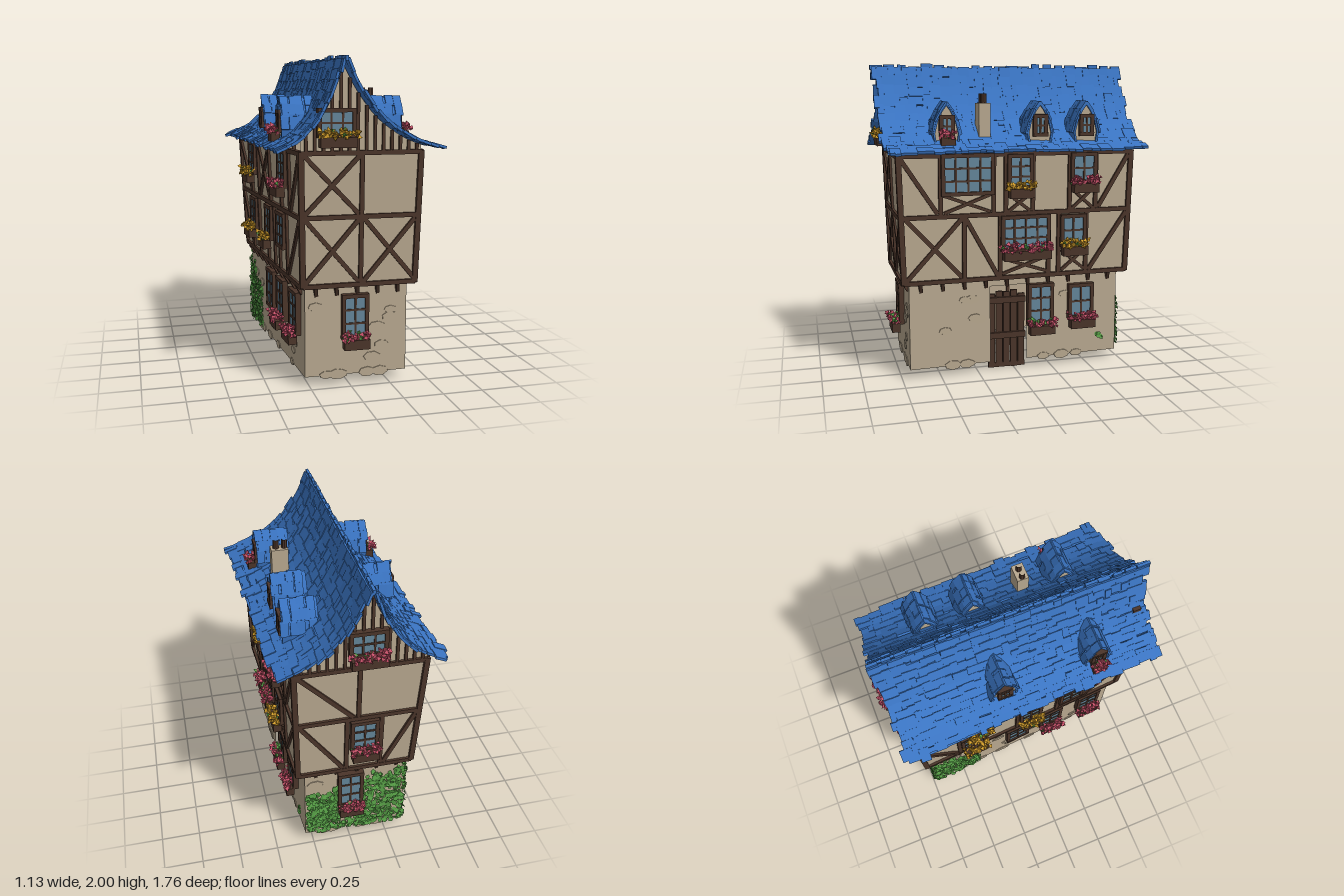
import * as THREE from 'three';
import { mergeGeometries } from 'three/addons/utils/BufferGeometryUtils.js';

const V = (x, y, z) => new THREE.Vector3(x, y, z);
const lerp = THREE.MathUtils.lerp;

export function createModel() {
  const model = new THREE.Group();
  let seed = 7;
  const rnd = (a = 0, b = 1) => { seed = (seed * 16807) % 2147483647; return a + (b - a) * seed / 2147483647; };

  const mat = (name, color, side = THREE.FrontSide) => {
    const m = new THREE.MeshStandardMaterial({ color, side, flatShading: true });
    m.name = name;
    return m;
  };
  const plaster = mat('plaster', 0xb9a990, THREE.DoubleSide);
  const wood = mat('dark timber', 0x4b352a);
  const blue = mat('blue slate', 0x3a74c2, THREE.DoubleSide);
  const glass = mat('window glass', 0x64869a);
  const pink = mat('pink petals', 0xc8526a);
  const yellow = mat('yellow petals', 0xd6a02c);
  const green = mat('ivy green', 0x549a44, THREE.DoubleSide);

  // Pieces are collected by part name and merged into one mesh each
  const parts = new Map();
  const add = (name, material, geo, matrix) => {
    const g = geo.index ? geo.toNonIndexed() : geo;
    g.deleteAttribute('uv');
    if (matrix) g.applyMatrix4(matrix);
    if (!parts.has(name)) parts.set(name, { material, list: [] });
    parts.get(name).list.push(g);
  };
  const box = (w, h, d, x = 0, y = 0, z = 0) => new THREE.BoxGeometry(w, h, d).translate(x, y, z);
  const quad = (name, material, a, b, c, d) => {
    const g = new THREE.BufferGeometry().setFromPoints([a, b, c, a, c, d]);
    g.computeVertexNormals();
    add(name, material, g);
  };
  const spin = (p) => new THREE.Matrix4().makeRotationFromEuler(
    new THREE.Euler(rnd(0, 6), rnd(0, 6), rnd(0, 6))).setPosition(p);

  // Skewed plan: corners FL, FR, BR, BL as [x, z]
  const ground = [[-0.28, 0.70], [0.365, 0.70], [0.30, -0.72], [-0.37, -0.72]];
  const low = [[-0.30, 0.735], [0.40, 0.735], [0.35, -0.755], [-0.39, -0.755]];
  const high = [[-0.315, 0.76], [0.42, 0.76], [0.365, -0.775], [-0.435, -0.775]];
  const F = 0, R = 1, B = 2, L = 3;
  const corner = (i, y) => {
    i %= 4;
    if (y < 0.62) return V(ground[i][0], y, ground[i][1]);
    const k = Math.min(1, (y - 0.62) / 0.82);
    return V(lerp(low[i][0], high[i][0], k), y, lerp(low[i][1], high[i][1], k));
  };
  const normal = (s) => corner(s + 1, 1).sub(corner(s, 1)).normalize().cross(V(0, 1, 0));
  // Point on a wall: a is x on front and back, z on the long sides
  const at = (s, a, y, off = 0) => {
    const p = corner(s, y), q = corner(s + 1, y), ax = s % 2 ? 'z' : 'x';
    return p.clone().lerp(q, (a - p[ax]) / (q[ax] - p[ax])).addScaledVector(normal(s), off);
  };
  const wallMatrix = (s, p) => {
    const n = normal(s);
    return new THREE.Matrix4().makeRotationY(Math.atan2(n.x, n.z)).setPosition(p);
  };
  const beam = (s, a0, y0, a1, y1, w = 0.027, d = 0.03) => {
    const p = at(s, a0, y0), q = at(s, a1, y1);
    const y = q.clone().sub(p).normalize(), x = y.clone().cross(normal(s)).normalize();
    const m = new THREE.Matrix4().makeBasis(x, y, x.clone().cross(y)).setPosition(p.clone().lerp(q, 0.5));
    add('timberFrame', wood, box(w, p.distanceTo(q), d), m);
  };
  const cross = (s, a0, a1, y0, y1, w) => { beam(s, a0, y0, a1, y1, w); beam(s, a0, y1, a1, y0, w, 0.026); };

  // Ground floor walls, with a doorway in the long right-hand side
  const panel = (s, a0, a1, y0, y1) =>
    quad('groundWalls', plaster, at(s, a0, y0), at(s, a1, y0), at(s, a1, y1), at(s, a0, y1));
  const base = 0.06, top = 0.6199;
  panel(F, -0.28, 0.365, base, top);
  panel(B, 0.30, -0.37, base, top);
  panel(L, -0.72, 0.70, base, top);
  panel(R, 0.70, 0.17, base, top);
  panel(R, 0.17, -0.08, 0.57, top);
  panel(R, -0.08, -0.72, base, top);

  // Jettied upper floors with underside
  for (let s = 0; s < 4; s++)
    quad('upperWalls', plaster, corner(s, 0.62), corner(s + 1, 0.62), corner(s + 1, 1.44), corner(s, 1.44));
  quad('upperWalls', plaster, ...[3, 2, 1, 0].map((i) => corner(i, 0.62)));

  // Shallow stones and a ragged footing
  for (let s = 0; s < 4; s++) {
    const [a, b] = [corner(s, 0.3), corner(s + 1, 0.3)], ax = s % 2 ? 'z' : 'x';
    const stone = (u, y, r) => add('stones', plaster,
      new THREE.CylinderGeometry(r * 0.96, r, 0.007, 7).rotateX(Math.PI / 2).rotateZ(rnd(0, 6)).scale(1.3, 0.75, 1),
      wallMatrix(s, at(s, u, y, 0.001)));
    for (let i = 0; i < (s % 2 ? 18 : 7); i++) {
      const u = lerp(a[ax], b[ax], rnd(0.1, 0.9));
      if (s !== R || u > 0.24 || u < -0.15) stone(u, rnd(0.14, 0.53), rnd(0.03, 0.05));
    }
    for (let i = 0; i < (s % 2 ? 8 : 5); i++) {
      const u = lerp(a[ax], b[ax], rnd(0.1, 0.8));
      if (s !== R || u > 0.24 || u < -0.15) stone(u, 0.065, rnd(0.03, 0.045));
    }
  }

  // Horizontal beams, corner posts and brackets under the overhang
  for (let s = 0; s < 4; s++) {
    const ax = s % 2 ? 'z' : 'x';
    for (const y of [0.635, 1.05, 1.43]) beam(s, corner(s, y)[ax], y, corner(s + 1, y)[ax], y, 0.028, 0.034);
    beam(s, corner(s, 0.63)[ax], 0.63, corner(s, 1.44)[ax], 1.44, 0.034, 0.034);
    const n = s % 2 ? 10 : 5;
    for (let i = 0; i < n; i++) {
      const p = at(s, lerp(corner(s, 0.6)[ax], corner(s + 1, 0.6)[ax], (i + 0.5) / n), 0.598, 0.012);
      add('brackets', wood, box(0.022, 0.07, 0.025).rotateX(0.5).rotateZ(0.2), wallMatrix(s, p));
    }
  }

  // Braces and studs
  beam(F, 0.055, 0.63, 0.055, 1.43);
  cross(F, -0.29, 0.045, 0.65, 1.04);
  cross(F, 0.07, 0.40, 0.65, 1.04);
  cross(F, -0.30, 0.045, 1.06, 1.42);
  beam(B, -0.03, 1.05, -0.03, 1.43);
  beam(B, 0.35, 1.42, 0, 1.06);
  for (const a of [0.04, -0.18]) beam(B, a, 0.63, a, 1.05);
  beam(B, 0.34, 1.04, 0.06, 0.65);
  beam(B, -0.40, 1.04, -0.20, 0.65);
  const studs = (s, y0, y1, list) => list.forEach((a) => beam(s, a, y0, a, y1));
  studs(R, 0.64, 1.04, [0.35, 0.115, -0.21, -0.28, -0.47]);
  studs(R, 1.06, 1.42, [0.5, 0.16, 0.08, -0.1, -0.35, -0.53]);
  cross(R, 0.72, 0.36, 0.65, 1.04);
  beam(R, 0.34, 1.03, 0.13, 0.65);
  beam(R, -0.75, 1.03, -0.49, 0.65);
  beam(R, 0.75, 1.42, 0.52, 1.07);
  beam(R, -0.76, 1.42, -0.55, 1.07);
  cross(R, 0.48, 0.18, 1.07, 1.18, 0.02);
  cross(R, 0.07, -0.09, 1.06, 1.18, 0.02);
  cross(R, -0.36, -0.52, 1.06, 1.2, 0.02);
  cross(R, 0.1, -0.2, 0.66, 0.76, 0.02);
  cross(R, -0.3, -0.46, 0.66, 0.79, 0.02);
  studs(L, 0.64, 1.04, [-0.5, -0.3, -0.06, 0.12, 0.25, 0.43]);
  studs(L, 1.06, 1.42, [-0.46, -0.26, 0.05, 0.33, 0.52]);
  beam(L, -0.75, 1.03, -0.52, 0.65);
  beam(L, 0.72, 1.03, 0.45, 0.65);
  beam(L, -0.76, 1.42, -0.48, 1.07);
  beam(L, 0.74, 1.42, 0.54, 1.07);
  cross(L, -0.24, 0.04, 1.07, 1.42);

  // Framed windows with optional flower boxes
  const framed = (m, w, h, cols, rows, petals, greenery = 0.05) => {
    const f = 0.024;
    add('windowGlass', glass, box(w - f, h - f, 0.008, 0, 0, 0.01), m);
    for (const i of [-1, 1]) {
      add('windowFrames', wood, box(f, h, 0.045, i * (w - f) / 2, 0, 0), m);
      add('windowFrames', wood, box(w, f, 0.05, 0, i * (h - f) / 2, 0), m);
    }
    for (let i = 1; i < cols; i++) add('windowFrames', wood, box(0.012, h, 0.014, (i / cols - 0.5) * (w - f), 0, 0.013), m);
    for (let i = 1; i < rows; i++) add('windowFrames', wood, box(w, 0.012, 0.014, 0, (i / rows - 0.5) * (h - f), 0.013), m);
    if (!petals) return;
    add('flowerBoxes', wood, box(w * 0.95, 0.06, 0.055, 0, -h / 2 - 0.025, 0.042), m);
    const name = petals === pink ? 'pinkFlowers' : 'yellowFlowers';
    for (let i = 0; i < w * 300; i++) {
      const p = V(rnd(-0.53, 0.53) * w, -h / 2 + rnd(0.0, 0.05), rnd(0.02, 0.085)).applyMatrix4(m);
      const leaf = rnd() < greenery;
      add(leaf ? 'flowerLeaves' : name, leaf ? green : petals, new THREE.TetrahedronGeometry(rnd(0.013, 0.023)), spin(p));
    }
  };
  const win = (s, a, y0, y1, w, cols, rows, petals, greenery) =>
    framed(wallMatrix(s, at(s, a, (y0 + y1) / 2, 0.012)), w, y1 - y0, cols, rows, petals, greenery);
  win(F, 0.03, 0.29, 0.57, 0.17, 2, 3, pink, 0.35);
  win(F, -0.105, 1.52, 1.69, 0.23, 3, 2, yellow);
  win(B, 0.0, 0.29, 0.57, 0.17, 2, 3, pink);
  win(B, -0.07, 0.8, 1.03, 0.18, 2, 3, pink);
  win(B, -0.07, 1.52, 1.69, 0.23, 3, 2, pink);
  win(R, -0.17, 0.29, 0.57, 0.18, 2, 3, pink, 0.25);
  win(R, -0.455, 0.31, 0.55, 0.18, 2, 2, pink);
  win(R, -0.05, 0.81, 1.04, 0.33, 4, 3, pink);
  win(R, -0.375, 0.82, 1.03, 0.18, 2, 2, yellow);
  win(R, 0.33, 1.18, 1.44, 0.34, 4, 3);
  win(R, -0.01, 1.21, 1.43, 0.17, 2, 3, yellow);
  win(R, -0.44, 1.23, 1.43, 0.18, 2, 2, pink);
  win(L, -0.05, 0.3, 0.57, 0.18, 2, 3);
  win(L, 0.22, 0.3, 0.57, 0.18, 2, 3, pink);
  win(L, 0.53, 0.3, 0.57, 0.18, 2, 3, pink);
  win(L, -0.40, 0.8, 1.03, 0.18, 2, 3, yellow);
  win(L, 0.03, 0.8, 1.03, 0.17, 2, 3, yellow);
  win(L, 0.34, 0.8, 1.03, 0.18, 2, 3);
  win(L, -0.36, 1.2, 1.43, 0.18, 2, 3, yellow);
  win(L, 0.42, 1.2, 1.43, 0.18, 2, 3, pink);

  // Plank door set back in the doorway
  for (let i = 0; i < 5; i++)
    add('door', wood, box(0.018, 0.5 + rnd(-0.03, 0.03), 0.044, 0.28, 0.26, 0.146 - i * 0.05));
  for (const y of [0.22, 0.46]) add('door', wood, box(0.03, 0.04, 0.25, 0.288, y, 0.045));
  add('door', wood, box(0.018, 0.03, 0.25, 0.28, 0.015, 0.045));

  // Roof: a concave profile of (share of half width, height), half width varying along z
  const ridge = -0.07;
  const curve = new THREE.SplineCurve([[0, 1.965], [0.13, 1.815], [0.33, 1.655], [0.56, 1.548], [0.76, 1.49], [1, 1.45]]
    .map((p) => new THREE.Vector2(...p)));
  const prof = curve.getSpacedPoints(30);
  const half = (sgn, z) => sgn > 0 ? lerp(0.54, 0.61, (z + 0.86) / 1.72) : lerp(0.47, 0.38, (z + 0.86) / 1.72);
  const roofAt = (sgn, k, z) => {
    const p = curve.getPointAt(Math.min(1, Math.max(0, k)));
    return V(ridge + sgn * p.x * half(sgn, z), p.y, z);
  };
  const roofY = (x, z) => {
    const t = Math.abs(x - ridge) / half(Math.sign(x - ridge) || 1, z);
    const i = Math.max(1, prof.findIndex((p) => p.x >= t));
    return lerp(prof[i - 1].y, prof[i].y, (t - prof[i - 1].x) / (prof[i].x - prof[i - 1].x));
  };
  const tile = (p, q, w) => {
    const down = q.clone().sub(p), len = down.length(), z = V(0, 0, 1);
    down.normalize();
    const n = z.clone().cross(down);
    if (n.y < 0) n.negate();
    const m = new THREE.Matrix4().makeBasis(down, n, down.clone().cross(n))
      .setPosition(p.clone().lerp(q, 0.5).addScaledVector(n, rnd(0.007, 0.013)));
    add('roofTiles', blue, box(len, 0.016, w).rotateY(rnd(-0.04, 0.04)).rotateZ(rnd(-0.1, -0.02)), m);
  };
  const rows = 13;
  for (const sgn of [-1, 1]) {
    for (let i = 0; i < rows; i++) {
      const k0 = i / rows, k1 = (i + 1) / rows;
      quad('roofShell', blue, roofAt(sgn, k0, 0.83), roofAt(sgn, k1, 0.83), roofAt(sgn, k1, -0.83), roofAt(sgn, k0, -0.83));
      let z = -0.85 + rnd(-0.02, 0.02);
      const end = 0.85 + rnd(-0.025, 0.015);
      while (z < end - 0.02) {
        const w = Math.min(rnd(0.03, 0.1), end - z);
        const p = roofAt(sgn, k0 - rnd(0, 0.03), z + w / 2), q = roofAt(sgn, k1, z + w / 2);
        q.addScaledVector(q.clone().sub(p).normalize(), rnd(-0.015, 0.03));
        tile(p, q, w);
        z += w;
      }
    }
  }
  for (let z = -0.83; z < 0.84; z += 0.083)
    add('ridgeTiles', blue, box(0.018, 0.03, rnd(0.05, 0.085), ridge, 1.972 + rnd(-0.012, 0.013), z));

  // Gable walls with close studs
  for (const s of [F, B]) {
    const z = high[s][1], x0 = Math.min(high[s][0], high[s + 1][0]), x1 = Math.max(high[s][0], high[s + 1][0]);
    const pts = [new THREE.Vector2(x0, 1.44)];
    for (let i = 0; i <= 24; i++) {
      const x = lerp(x0, x1, i / 24);
      pts.push(new THREE.Vector2(x, roofY(x, z) - 0.008));
    }
    pts.push(new THREE.Vector2(x1, 1.44));
    add('gableWalls', plaster, new THREE.ShapeGeometry(new THREE.Shape(pts)).translate(0, 0, z));
    for (let x = x0 + 0.03; x < x1; x += 0.052) {
      const y = roofY(x, z) - 0.01;
      if (y > 1.47) beam(s, x, 1.44, x, y, 0.018, 0.03);
    }
  }

  // Dormers: beige pointed front under a tiled hood
  const arch = [[0.072, 1.48], [0.085, 1.56], [0.066, 1.64], [0.036, 1.7], [0, 1.75]];
  const dormer = (sgn, z, petals) => {
    const outline = (t) => [...arch.map(([a, y], i) => new THREE.Vector2(-Math.max(0, a - t), i === 4 ? y - t * 1.5 : y)),
      ...arch.slice(0, -1).reverse().map(([a, y]) => new THREE.Vector2(a - t, y))];
    const m = new THREE.Matrix4().makeRotationY(sgn * Math.PI / 2).setPosition(sgn * 0.365, 0, z);
    add('dormerWalls', plaster, new THREE.ExtrudeGeometry(new THREE.Shape(outline(0.01)),
      { depth: 0.18, bevelEnabled: false }).translate(0, 0, -0.18), m);
    add('dormerRoofs', blue, new THREE.ExtrudeGeometry(new THREE.Shape([...outline(0), ...outline(0.012).reverse()]),
      { depth: 0.22, bevelEnabled: false }).translate(0, 0, -0.205), m);
    for (const e of [-1, 1]) for (let i = 1; i < 4; i++) for (let j = 0; j < 4; j++) {
      const [a, y] = arch[i], [b, h] = arch[i + 1];
      add('dormerTiles', blue, box(0.012, Math.hypot(a - b, h - y) + rnd(0.005, 0.02), 0.05)
        .rotateZ(e * Math.atan2(a - b, h - y) + rnd(-0.06, 0.06)), m.clone().multiply(new THREE.Matrix4()
        .makeTranslation(e * ((a + b) / 2 + 0.004), (y + h) / 2, -0.01 - j * 0.05 + rnd(-0.012, 0.012))));
    }
    framed(m.clone().multiply(new THREE.Matrix4().makeTranslation(0, 1.605, 0.005)), 0.096, 0.14, 2, 2, petals);
  };
  dormer(1, 0.45, pink);
  dormer(1, -0.15);
  dormer(1, -0.46);
  dormer(-1, 0.45, pink);
  dormer(-1, -0.16);

  // Chimney with two open pots
  add('chimney', plaster, box(0.11, 0.29, 0.075, 0.26, 1.6, 0.195));
  for (const x of [0.225, 0.28])
    add('chimneyPots', wood, new THREE.CylinderGeometry(0.018, 0.02, 0.06, 8, 1, true).translate(x, 1.775, 0.195));

  // Ivy over the rear corner
  const leaf = (s, a, y) => add('ivy', green, new THREE.CircleGeometry(rnd(0.011, 0.021), 5)
    .rotateX(rnd(-0.6, 0.3)).rotateY(rnd(-0.5, 0.5)), wallMatrix(s, at(s, a, y, rnd(0.006, 0.022))));
  for (let i = 0; i < 1100; i++) {
    const a = rnd(-0.37, 0.29), y = rnd(0.07, 0.47 - a * 0.25 + 0.03 * Math.sin(a * 30));
    if (Math.abs(a) > 0.08 || y < 0.24) leaf(B, a, y);
  }
  for (let i = 0; i < 560; i++) {
    const a = rnd(-0.72, -0.36);
    leaf(L, a, rnd(0.06, 0.56 - (a + 0.72) * 0.6 + 0.03 * Math.sin(a * 40)));
  }
  for (let i = 0; i < 10; i++) leaf(R, -0.6 + rnd(-0.02, 0.02), 0.17 + rnd(-0.02, 0.02));

  for (const [name, { material, list }] of parts) {
    const mesh = new THREE.Mesh(mergeGeometries(list), material);
    mesh.name = name;
    model.add(mesh);
  }
  return model;
}
